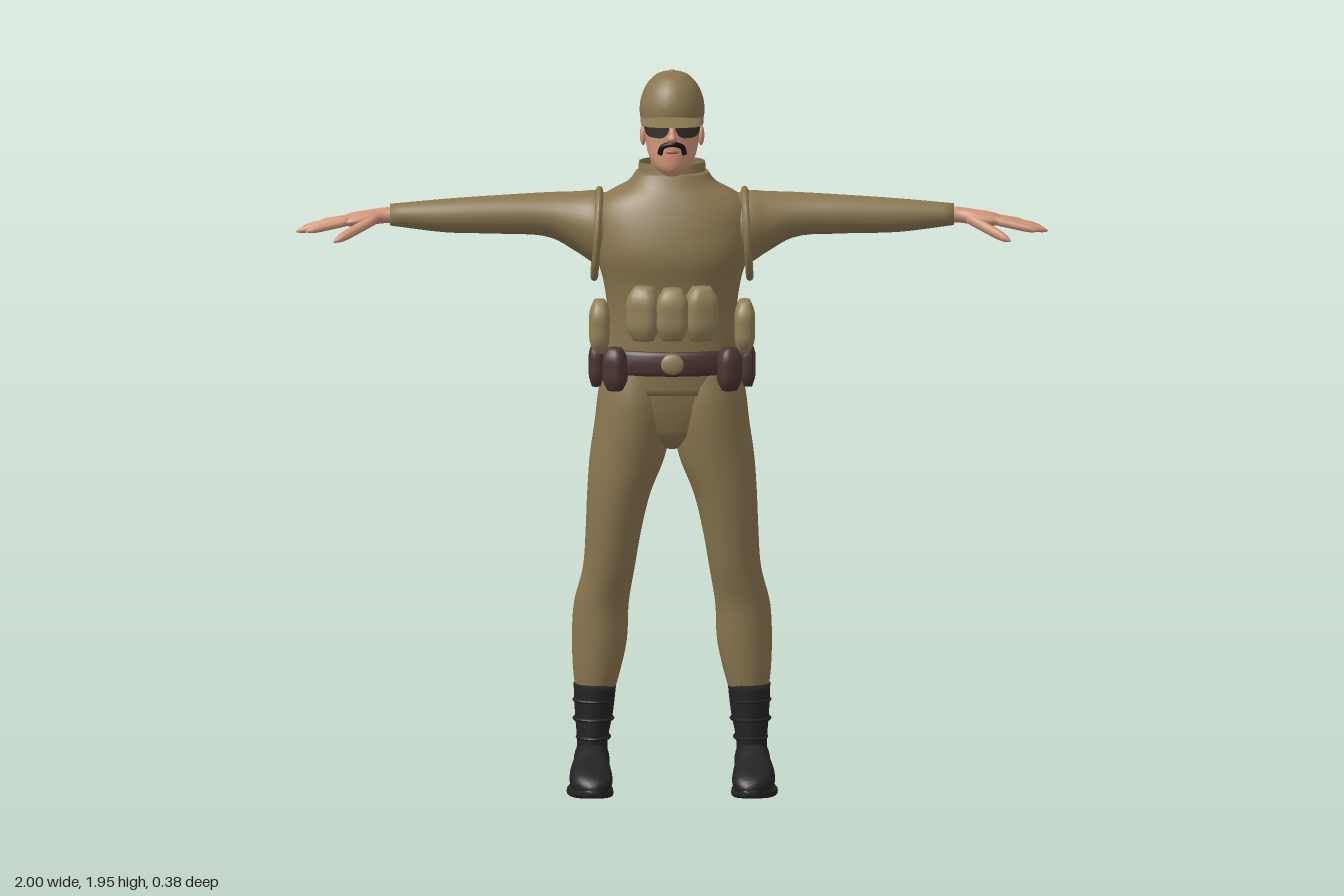
import * as THREE from 'three';
import { ParametricGeometry } from 'three/addons/geometries/ParametricGeometry.js';

const mat = (name, color) => new THREE.MeshStandardMaterial({ name, color, side: THREE.DoubleSide });

// Smoothly interpolated cross-section [c1, c2, r1, r2] at t; sections are [t, c1, c2, r1, r2]
const sampler = (sections) => {
  const spline = new THREE.CubicInterpolant(sections.map(s => s[0]), sections.flatMap(s => s.slice(1)), 4, new Float64Array(4));
  return (t) => [...spline.evaluate(t)];
};

// Lofted body along an axis; n is the superellipse power of the outline
function loft(axis, sections, { n = 2, sides = 28, steps = 5, caps = true } = {}) {
  const at = sampler(sections), pos = [], idx = [], rings = [];
  sections.forEach((s, i) => {
    if (i) for (let k = 1; k <= steps; k++) rings.push(THREE.MathUtils.lerp(sections[i - 1][0], s[0], k / steps));
    else rings.push(s[0]);
  });
  const put = (t, a, b) => pos.push(...(axis === 'x' ? [t, a, b] : axis === 'y' ? [a, t, b] : [a, b, t]));
  const pw = (v) => Math.sign(v) * Math.abs(v) ** (2 / n);
  for (const t of rings) {
    const [c1, c2, r1, r2] = at(t);
    for (let j = 0; j < sides; j++) {
      const a = j / sides * Math.PI * 2;
      const c = pw(Math.cos(a)), s = pw(Math.sin(a));
      put(t, c1 + Math.max(r1, 0.001) * (axis === 'y' ? s : c), c2 + Math.max(r2, 0.001) * (axis === 'y' ? c : s));
    }
  }
  for (let i = 0; i < rings.length - 1; i++) for (let j = 0; j < sides; j++) {
    const k = (j + 1) % sides, a = i * sides + j, b = i * sides + k;
    idx.push(a, b, b + sides, a, b + sides, a + sides);
  }
  if (caps) [0, rings.length - 1].forEach((r, e) => {
    const [c1, c2] = at(rings[r]), c = pos.length / 3;
    put(rings[r], c1, c2);
    for (let j = 0; j < sides; j++) {
      const a = r * sides + j, b = r * sides + (j + 1) % sides;
      e ? idx.push(c, a, b) : idx.push(c, b, a);
    }
  });
  const g = new THREE.BufferGeometry();
  g.setAttribute('position', new THREE.Float32BufferAttribute(pos, 3));
  g.setIndex(idx);
  g.computeVertexNormals();
  return g;
}

function mirrored(geo) {
  const g = geo.clone().scale(-1, 1, 1), i = g.index.array;
  for (let k = 0; k < i.length; k += 3) [i[k], i[k + 1]] = [i[k + 1], i[k]];
  g.computeVertexNormals();
  return g;
}

const ball = (x, y, z, rx, ry, rz) => new THREE.SphereGeometry(1, 20, 14).scale(rx, ry, rz).translate(x, y, z);

// Tapered finger from a to b
function finger(a, b, r) {
  const d = new THREE.Vector3(...b).sub(new THREE.Vector3(...a)), L = d.length();
  const g = loft('y', [[0, 0, 0, r, r], [L * 0.5, 0, 0, r * 0.95, r * 0.95], [L * 0.88, 0, 0, r * 0.7, r * 0.7], [L, 0, 0, r * 0.2, r * 0.2]], { sides: 10, steps: 3 });
  g.applyQuaternion(new THREE.Quaternion().setFromUnitVectors(new THREE.Vector3(0, 1, 0), d.normalize()));
  return g.translate(...a);
}

// Bulging pouch with narrowed ends, turned about y
function pouch(x, y, z, w, h, d, turn = 0) {
  const s = [[-0.5, 0.6], [-0.28, 0.97], [0, 1], [0.28, 0.97], [0.5, 0.55]].map(([t, k]) => [t * h, 0, 0, k * w / 2, k * d / 2]);
  return loft('y', s, { n: 2.8, sides: 20, steps: 3 }).rotateY(turn).translate(x, y, z);
}

export function createModel() {
  const model = new THREE.Group();
  model.name = 'uniformedMan';
  const fabric = mat('khakiFabric', 0x8a7650), pouchFabric = mat('pouchKhaki', 0x93815a);
  const skin = mat('skin', 0xd0967a), boot = mat('bootBlack', 0x232323), leather = mat('brownLeather', 0x4a3532);
  const hair = mat('darkBrownHair', 0x3b2a22), black = mat('black', 0x121212), glass = mat('smokedLens', 0x37302d), lip = mat('lip', 0xa85f55);
  const add = (name, geo, m) => {
    const mesh = new THREE.Mesh(geo, m);
    mesh.name = name;
    model.add(mesh);
  };
  const pair = (name, geo, m) => {
    add(name + 'Left', geo, m);
    add(name + 'Right', mirrored(geo), m);
  };

  // Torso
  const torso = [[1.08, 0, -0.035, 0.188, 0.122], [1.17, 0, -0.03, 0.18, 0.124], [1.3, 0, -0.025, 0.173, 0.124],
    [1.38, 0, -0.027, 0.184, 0.136], [1.45, 0, -0.026, 0.205, 0.146], [1.52, 0, -0.032, 0.214, 0.14],
    [1.58, 0, -0.037, 0.205, 0.124], [1.61, 0, -0.037, 0.172, 0.11], [1.64, 0, -0.036, 0.118, 0.093], [1.67, 0, -0.034, 0.095, 0.078]];
  add('torso', loft('y', torso, { n: 2.2, sides: 40 }), fabric);
  add('collar', loft('y', [[1.62, 0, -0.036, 0.115, 0.098], [1.66, 0, -0.034, 0.092, 0.08], [1.695, 0, -0.036, 0.088, 0.076]], { caps: false }), fabric);

  // Bibs lying on the chest and back below the collar
  const torsoAt = sampler(torso);
  const bib = (side, low, high) => new ParametricGeometry((u, v, p) => {
    const y = 1.53 + 0.12 * v, [, cz, rx, rz] = torsoAt(y);
    const x = (u * 2 - 1) * THREE.MathUtils.lerp(low, high, v);
    const z = rz * Math.max(0, 1 - Math.abs(x / rx) ** 2.2) ** (1 / 2.2) + 0.006;
    p.set(x * side, y, cz + side * z);
  }, 14, 10);
  add('frontBib', bib(1, 0.062, 0.085), fabric);
  add('backBib', bib(-1, 0.06, 0.085), fabric);

  // Sleeves and armhole rims
  pair('sleeve', loft('x', [[0.13, 1.51, -0.045, 0.08, 0.08], [0.2, 1.515, -0.045, 0.098, 0.095], [0.25, 1.528, -0.05, 0.082, 0.082],
    [0.32, 1.546, -0.055, 0.061, 0.07], [0.45, 1.549, -0.048, 0.052, 0.055], [0.6, 1.546, -0.047, 0.045, 0.046], [0.75, 1.548, -0.05, 0.029, 0.032]]), fabric);
  pair('armholeRim', new THREE.TorusGeometry(0.108, 0.01, 8, 36).scale(0.95, 1.08, 1).rotateY(Math.PI / 2).rotateZ(0.06).translate(0.2, 1.498, -0.042), fabric);

  // Hands
  pair('palm', loft('x', [[0.73, 1.548, -0.05, 0.022, 0.026], [0.77, 1.546, -0.049, 0.021, 0.027], [0.81, 1.541, -0.043, 0.02, 0.04],
    [0.86, 1.535, -0.045, 0.016, 0.045], [0.885, 1.531, -0.047, 0.008, 0.037]], { sides: 18 }), skin);
  [[[0.86, 1.536, -0.015], [0.975, 1.512, 0.006]], [[0.87, 1.535, -0.037], [1.0, 1.505, -0.037]],
    [[0.87, 1.534, -0.058], [0.985, 1.508, -0.079]], [[0.855, 1.533, -0.076], [0.94, 1.515, -0.118]],
    [[0.79, 1.542, -0.02], [0.9, 1.49, 0.044]]].forEach(([a, b], i) =>
    pair(['indexFinger', 'middleFinger', 'ringFinger', 'littleFinger', 'thumb'][i], finger(a, b, i === 4 ? 0.014 : 0.0115), skin));

  // Hips and trouser legs
  add('hips', loft('y', [[0.925, 0, -0.03, 0.02, 0.04], [0.96, 0, -0.032, 0.1, 0.085], [1.0, 0, -0.034, 0.165, 0.103],
    [1.06, 0, -0.035, 0.192, 0.118], [1.15, 0, -0.033, 0.186, 0.124]]), fabric);
  pair('trouserLeg', loft('y', [[0.26, 0.205, -0.053, 0.051, 0.056], [0.32, 0.2, -0.056, 0.063, 0.066], [0.4, 0.193, -0.06, 0.073, 0.075], [0.5, 0.188, -0.058, 0.073, 0.078],
    [0.6, 0.168, -0.04, 0.069, 0.08], [0.7, 0.156, -0.03, 0.074, 0.086], [0.8, 0.142, -0.027, 0.084, 0.097],
    [0.9, 0.119, -0.032, 0.1, 0.112], [1.0, 0.103, -0.04, 0.102, 0.129], [1.07, 0.097, -0.04, 0.1, 0.128], [1.14, 0.09, -0.034, 0.094, 0.11]]), fabric);

  // Boots
  pair('bootShaft', loft('y', [[0.07, 0.213, -0.055, 0.043, 0.053], [0.13, 0.212, -0.052, 0.041, 0.054], [0.2, 0.208, -0.053, 0.05, 0.056], [0.285, 0.205, -0.054, 0.057, 0.061]]), boot);
  pair('bootFoot', loft('z', [[-0.115, 0.213, 0.055, 0.024, 0.03], [-0.09, 0.213, 0.066, 0.042, 0.053], [0, 0.215, 0.07, 0.046, 0.056],
    [0.06, 0.217, 0.056, 0.055, 0.044], [0.12, 0.215, 0.045, 0.055, 0.034], [0.165, 0.21, 0.035, 0.035, 0.022], [0.18, 0.208, 0.03, 0.012, 0.01]], { n: 2.4 }), boot);
  pair('bootSole', loft('z', [[-0.115, 0.215, 0.018, 0.03, 0.01], [-0.09, 0.215, 0.018, 0.048, 0.012], [0, 0.218, 0.018, 0.052, 0.011],
    [0.08, 0.219, 0.015, 0.062, 0.012], [0.14, 0.214, 0.016, 0.052, 0.012], [0.184, 0.208, 0.022, 0.018, 0.01]], { n: 4 }), boot);
  pair('bootHeel', new THREE.CylinderGeometry(0.046, 0.048, 0.025, 20).translate(0.215, 0.0125, -0.065), boot);
  for (const [i, y] of [0.14, 0.19, 0.24].entries())
    pair('bootStrap' + (i + 1), new THREE.TorusGeometry(0.05, 0.005, 6, 28).rotateX(Math.PI / 2).scale(i ? 1.02 : 0.86, 1, 1.12).translate(0.209, y, -0.053), boot);

  // Belt, buckle and belt pouches
  add('belt', loft('y', [[1.135, 0, -0.034, 0.188, 0.136], [1.145, 0, -0.034, 0.194, 0.141], [1.19, 0, -0.033, 0.19, 0.14], [1.2, 0, -0.033, 0.184, 0.134]], { n: 2.2, sides: 40 }), leather);
  add('buckle', ball(0, 1.168, 0.105, 0.032, 0.028, 0.012), pouchFabric);
  pair('frontBeltPouch', pouch(0.152, 1.152, 0.078, 0.062, 0.115, 0.06, 0.5), leather);
  pair('sideBeltPouch', pouch(0.202, 1.152, 0.0, 0.04, 0.115, 0.065), leather);
  add('backBeltPouch', pouch(0, 1.152, -0.171, 0.075, 0.115, 0.035), leather);

  // Cloth pouches on the stomach, waist and thighs
  add('middleStomachPouch', pouch(0, 1.308, 0.13, 0.085, 0.14, 0.075), pouchFabric);
  pair('outerStomachPouch', pouch(0.077, 1.308, 0.115, 0.088, 0.145, 0.075, 0.35), pouchFabric);
  pair('waistPouch', pouch(0.193, 1.255, -0.002, 0.055, 0.14, 0.105), pouchFabric);
  pair('thighPouch', pouch(0.168, 0.8, -0.112, 0.046, 0.19, 0.1, -0.35), pouchFabric);

  // Head and neck
  add('neck', loft('y', [[1.6, 0, -0.035, 0.062, 0.062], [1.68, 0, -0.028, 0.056, 0.06], [1.77, 0, -0.02, 0.056, 0.062]]), skin);
  add('head', loft('y', [[1.672, 0, 0.05, 0.02, 0.03], [1.69, 0, 0.036, 0.045, 0.06], [1.72, 0, 0.02, 0.062, 0.08], [1.76, 0, 0.004, 0.071, 0.095],
    [1.8, 0, -0.002, 0.076, 0.1], [1.86, 0, -0.005, 0.072, 0.092], [1.91, 0, -0.005, 0.04, 0.05]]), skin);
  add('nose', loft('y', [[1.767, 0, 0.098, 0.01, 0.012], [1.775, 0, 0.1, 0.014, 0.018], [1.79, 0, 0.099, 0.009, 0.013], [1.81, 0, 0.095, 0.007, 0.008]], { sides: 14 }), skin);
  pair('ear', ball(0.077, 1.77, -0.008, 0.009, 0.028, 0.017), skin);
  add('hair', loft('y', [[1.735, 0, -0.058, 0.06, 0.036], [1.77, 0, -0.06, 0.076, 0.044], [1.815, 0, -0.058, 0.08, 0.048]]), hair);

  // Moustache and mouth
  add('moustache', new THREE.TubeGeometry(new THREE.CatmullRomCurve3([[-0.032, 1.733, 0.088], [-0.026, 1.753, 0.093], [0, 1.762, 0.101], [0.026, 1.753, 0.093], [0.032, 1.733, 0.088]]
    .map(p => new THREE.Vector3(...p))), 24, 0.0075, 8), black);
  add('mouth', ball(0, 1.74, 0.095, 0.018, 0.006, 0.008), lip);

  // Sunglasses
  pair('lens', new ParametricGeometry((u, v, p) => {
    const a = 0.1 + u * 1.05, drop = 0.042 * Math.max(0, 1 - Math.abs(u * 2 - 0.95) ** 4) ** 0.5 + 0.003;
    p.set(0.084 * Math.sin(a), 1.824 - drop * v, 0.118 * Math.cos(a));
  }, 16, 6), glass);
  add('glassesBridge', new THREE.BoxGeometry(0.024, 0.007, 0.006).translate(0, 1.818, 0.117), glass);
  pair('glassesTemple', new THREE.BoxGeometry(0.004, 0.007, 0.07).translate(0.079, 1.808, 0.02), glass);

  // Cap with a curved brim
  add('capCrown', loft('y', [[1.795, 0, -0.008, 0.081, 0.1], [1.83, 0, -0.006, 0.086, 0.106], [1.88, 0, -0.005, 0.08, 0.099],
    [1.92, 0, -0.006, 0.056, 0.073], [1.938, 0, -0.006, 0.028, 0.038], [1.943, 0, -0.006, 0.003, 0.003]].map((s, i) => i ? s : [1.806, ...s.slice(1)])), fabric);
  add('capButton', ball(0, 1.942, -0.006, 0.009, 0.004, 0.009), fabric);
  const brim = (lift) => new ParametricGeometry((u, v, p) => {
    const a = (u * 2 - 1) * 1.5, c = Math.cos(a), x = 0.084 * Math.sin(a);
    p.set(x, 1.831 + lift - 0.008 * v - 1.8 * x * x, -0.006 + 0.1 * c + 0.096 * v * c ** 0.6);
  }, 24, 6);
  add('capBrimTop', brim(0.004), fabric);
  add('capBrimUnderside', brim(-0.002), fabric);
  return model;
}
